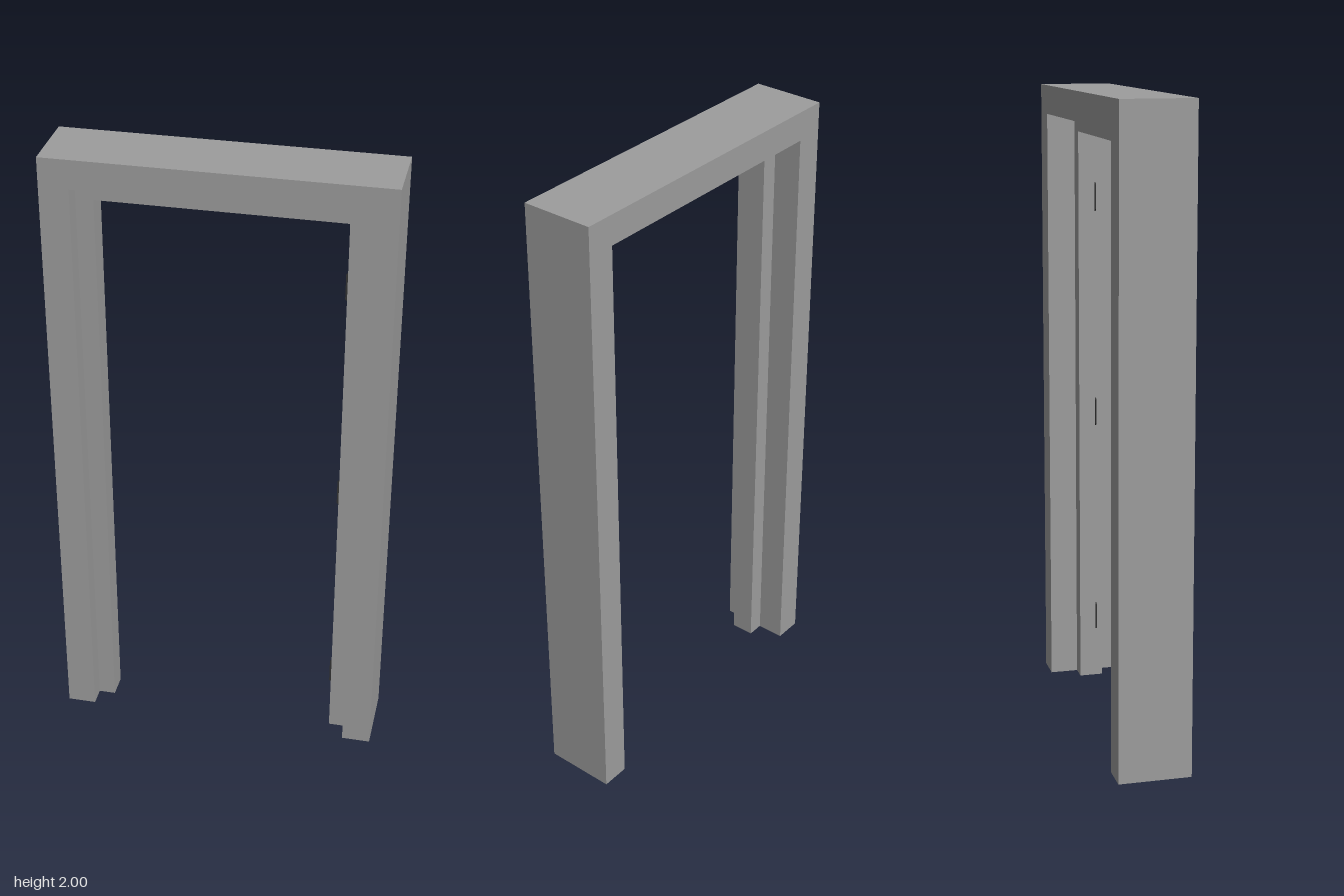
import * as THREE from 'three';

const HALF_W = 0.518, HEIGHT = 2, HALF_D = 0.113;
const JAMB = 0.091, STOP = 0.145;          // inset of the jamb face and of the stop face
const STOP_FRONT = 0.053, STOP_BACK = -0.023;

// Sweep an [inset, z] section up one jamb, across the head and down the other, open at the feet
function sweepFrame(section) {
  const rings = [[-1, 0], [-1, 1], [1, 1], [1, 0]].map(([side, top]) =>
    section.map(([inset, z]) => [side * (HALF_W - inset), top * (HEIGHT - inset), z]));
  const positions = [];
  for (let i = 0; i < rings.length - 1; i++) {
    for (let j = 0; j < section.length; j++) {
      const k = (j + 1) % section.length;
      const a = rings[i][j], b = rings[i][k], c = rings[i + 1][k], d = rings[i + 1][j];
      positions.push(...a, ...b, ...c, ...a, ...c, ...d);
    }
  }
  const geometry = new THREE.BufferGeometry();
  geometry.setAttribute('position', new THREE.Float32BufferAttribute(positions, 3));
  geometry.computeVertexNormals();
  return geometry;
}

export function createModel() {
  const group = new THREE.Group();
  group.name = 'doorFrame';
  const frameMaterial = new THREE.MeshStandardMaterial({
    color: 0x9d9d9d, flatShading: true, side: THREE.DoubleSide,
  });
  const hingeMaterial = new THREE.MeshStandardMaterial({ color: 0x333333, flatShading: true });

  // Frame with a rebate on either side of the raised stop
  const frame = new THREE.Mesh(sweepFrame([
    [JAMB, -HALF_D], [JAMB, STOP_BACK], [STOP, STOP_BACK], [STOP, STOP_FRONT],
    [JAMB, STOP_FRONT], [JAMB, HALF_D], [0, HALF_D], [0, -HALF_D],
  ]), frameMaterial);
  frame.name = 'frame';
  group.add(frame);

  // Three thin hinge leaves with tapered ends, standing out of the left stop
  const outline = new THREE.Shape([
    new THREE.Vector2(0, -0.047), new THREE.Vector2(0, 0.047),
    new THREE.Vector2(-0.008, 0.04), new THREE.Vector2(-0.008, -0.04),
  ]);
  const leaf = new THREE.ExtrudeGeometry(outline, { depth: 0.004, bevelEnabled: false });
  for (const y of [0.215, 0.93, 1.645]) {
    const hinge = new THREE.Mesh(leaf, hingeMaterial);
    hinge.name = 'hinge';
    hinge.position.set(HALF_W - STOP, y, 0.03);
    group.add(hinge);
  }
  return group;
}
